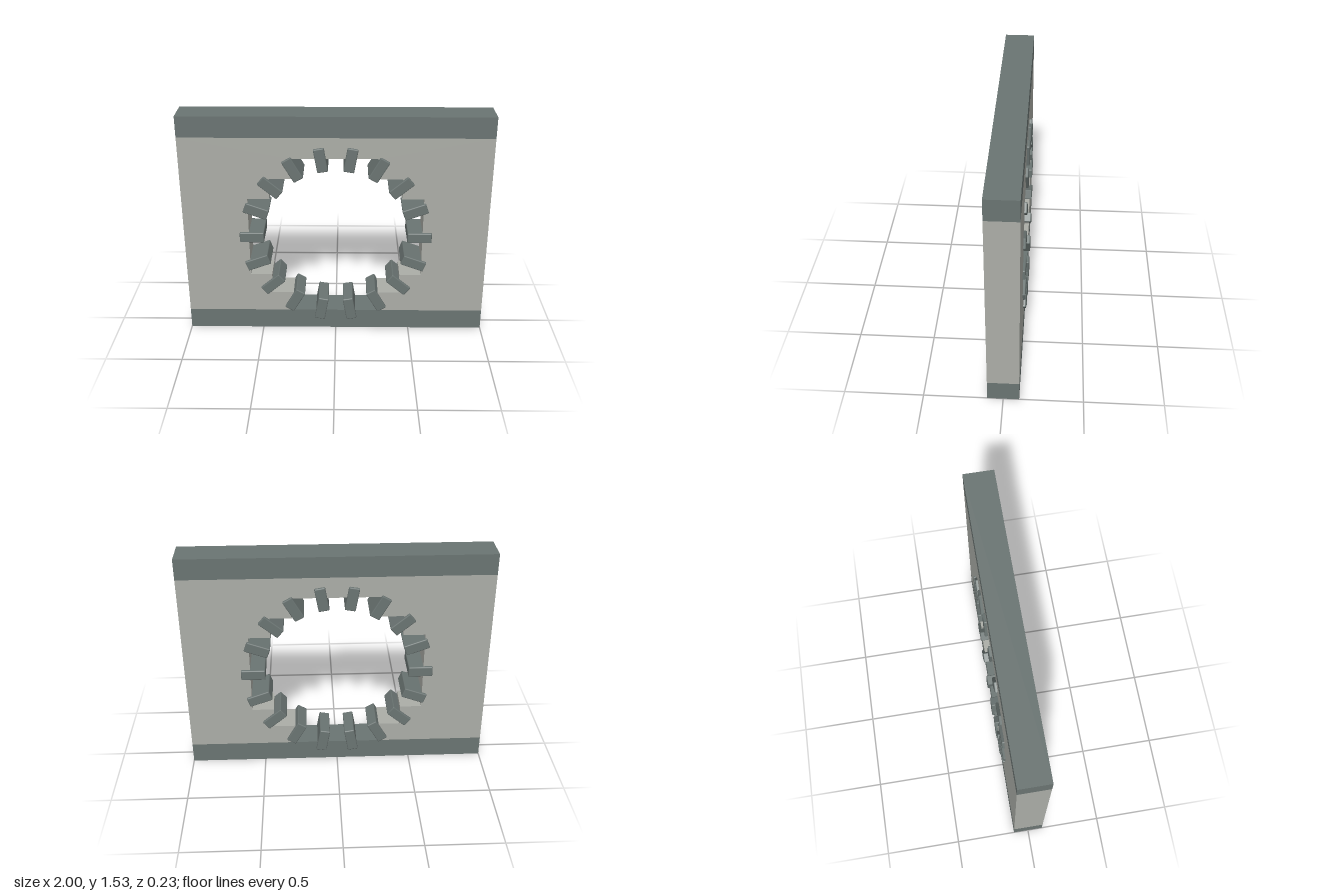
import * as THREE from 'three';
import { RoundedBoxGeometry } from 'three/addons/geometries/RoundedBoxGeometry.js';

const COL = 1 / 7;        // width of one masonry unit
const ROW = 0.139;        // height of one masonry course
const DEPTH = 0.2;
const HEIGHT = ROW * 11;

export function createModel() {
  const group = new THREE.Group();
  const stone = new THREE.MeshStandardMaterial({ color: 0xabada7 });
  stone.name = 'pale stone';
  const slate = new THREE.MeshStandardMaterial({ color: 0x6a7472 });
  slate.name = 'dark slate';

  const add = (name, geometry, material, x = 0, y = 0, z = 0) => {
    const mesh = new THREE.Mesh(geometry, material);
    mesh.name = name;
    mesh.position.set(x, y, z);
    group.add(mesh);
    return mesh;
  };

  // Wall panel with a stepped opening that reaches down to the lower band
  const half = [[2, 1], [2, 2], [3, 2], [3, 3], [4, 3], [4, 7], [3, 7], [3, 8], [2, 8], [2, 9]];
  const right = half.map(([c, r]) => new THREE.Vector2(c * COL, r * ROW));
  const left = right.map((p) => new THREE.Vector2(-p.x, p.y)).reverse();
  const outline = new THREE.Shape([
    new THREE.Vector2(1, ROW),
    new THREE.Vector2(1, ROW * 10),
    new THREE.Vector2(-1, ROW * 10),
    new THREE.Vector2(-1, ROW),
    ...left.reverse(),
    ...right.reverse(),
  ]);
  const panel = new THREE.ExtrudeGeometry(outline, { depth: DEPTH, bevelEnabled: false });
  add('wallPanel', panel, stone, 0, 0, -DEPTH / 2);

  // Dark courses along the bottom and top
  const band = new THREE.BoxGeometry(2, ROW, DEPTH);
  add('bottomBand', band, slate, 0, ROW / 2);
  add('topBand', band, slate, 0, HEIGHT - ROW / 2);

  // Ring of radial blocks around the opening
  const block = new RoundedBoxGeometry(0.16, 0.07, 0.234, 1, 0.007);
  const count = 18;
  for (let i = 0; i < count; i++) {
    const a = (i / count) * Math.PI * 2;
    const mesh = add('ringBlock', block, slate, Math.cos(a) * 0.552, 0.699 + Math.sin(a) * 0.552);
    mesh.rotation.z = a;
  }
  return group;
}
